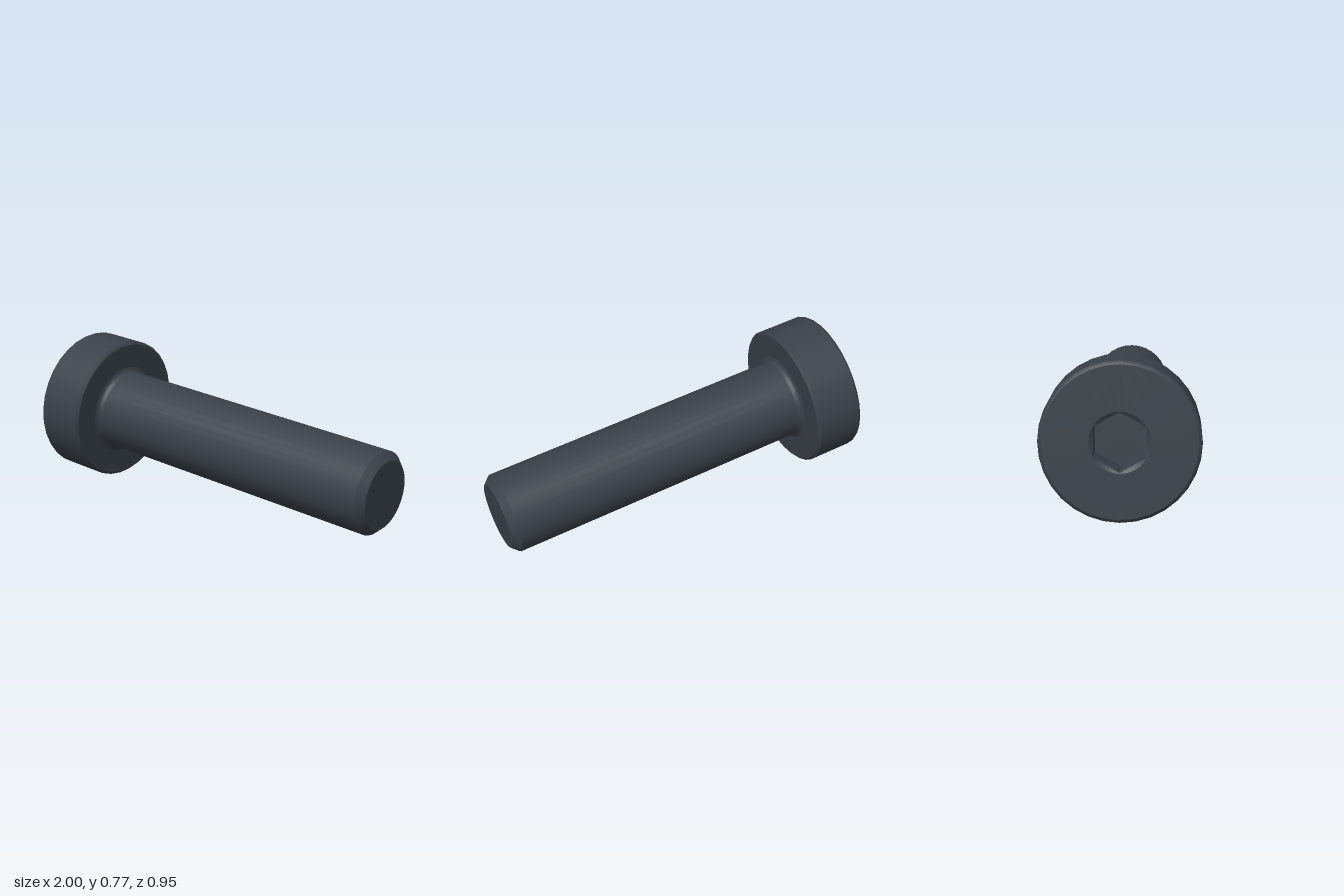
import * as THREE from 'three';
import { mergeGeometries } from 'three/addons/utils/BufferGeometryUtils.js';

const SIDES = 32;

// Each run of [radius, distance along the axis] is smooth; runs meet in sharp edges.
function turned(runs) {
  return mergeGeometries(runs.map((run) =>
    new THREE.LatheGeometry(run.map(([r, y]) => new THREE.Vector2(r, y)), SIDES)));
}

// Hexagonal recess with a conical lead-in: a lathe whose walls are pulled in to a hexagon.
function hexSocket(rim, corner, depth) {
  const profile = [[0, depth], [corner, depth], [corner, 0], [rim, 0]];
  const points = profile.map(([r, y]) => new THREE.Vector2(r, y));
  const geo = new THREE.LatheGeometry(points, 48);
  const pos = geo.attributes.position;
  for (let i = 0; i < pos.count; i++) {
    const row = i % profile.length;
    if (row !== 1 && row !== 2) continue;
    const a = Math.floor(i / profile.length) * Math.PI * 2 / 48;
    const r = corner * Math.cos(Math.PI / 6) / Math.cos((a % (Math.PI / 3)) - Math.PI / 6);
    const y = row === 1 ? depth : (rim - r) * 0.6;
    pos.setXYZ(i, r * Math.sin(a), y, r * Math.cos(a));
  }
  const flat = geo.toNonIndexed();
  flat.computeVertexNormals();
  return flat;
}

export function createModel() {
  const steel = new THREE.MeshStandardMaterial({ color: 0x3a4149 });
  steel.name = 'dark steel';
  const bolt = new THREE.Group();
  bolt.name = 'bolt';
  const add = (name, geometry) => {
    const mesh = new THREE.Mesh(geometry, steel);
    mesh.name = name;
    bolt.add(mesh);
  };

  // Low cylindrical head with eased edges
  add('head', turned([
    [[0.141, 0], [0.354, 0]],
    [[0.354, 0], [0.365, 0.005], [0.371, 0.016]],
    [[0.371, 0.016], [0.371, 0.25]],
    [[0.371, 0.25], [0.358, 0.262]],
    [[0.358, 0.262], [0.235, 0.262]],
  ]));

  // Hex key recess in the head
  add('hexSocket', hexSocket(0.142, 0.139, 0.155));

  // Shaft with a fillet under the head and a chamfered tip
  add('shaft', turned([
    [[0.235, 0.262], [0.22, 0.266], [0.2115, 0.275], [0.2077, 0.29]],
    [[0.2077, 0.29], [0.2077, 1.889]],
    [[0.2077, 1.889], [0.171, 1.927]],
    [[0.171, 1.927], [0, 1.927]],
  ]));

  // Lay the bolt along its tilted axis, one socket corner pointing up
  const axis = new THREE.Vector3(0.9729, -0.1019, 0.2077).normalize();
  const up = new THREE.Vector3(0, 1, 0).addScaledVector(axis, -axis.y).normalize();
  const side = new THREE.Vector3().crossVectors(axis, up);
  bolt.quaternion.setFromRotationMatrix(new THREE.Matrix4().makeBasis(side, axis, up));
  bolt.position.set(-0.918, 0.4, -0.115);

  const model = new THREE.Group();
  model.name = 'socketHeadBolt';
  model.add(bolt);
  return model;
}
